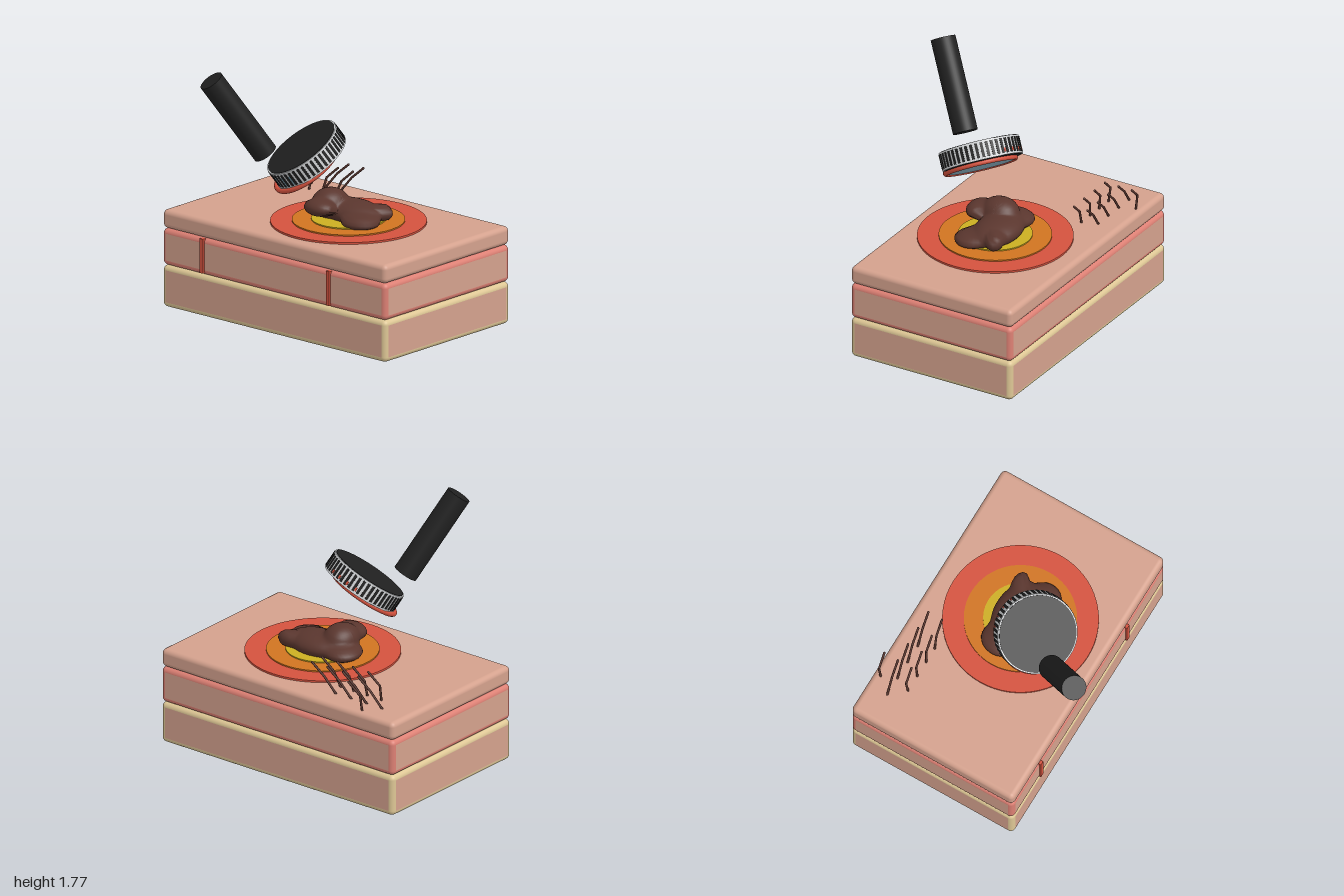
import * as THREE from 'three';
import { RoundedBoxGeometry } from 'three/addons/geometries/RoundedBoxGeometry.js';

const paint = (name, color) => {
  const m = new THREE.MeshStandardMaterial({ color });
  m.name = name;
  return m;
};

export function createModel() {
  const skin = paint('skin', 0xd4a18d), dermis = paint('dermis pink', 0xdd8074);
  const fat = paint('fat yellow', 0xdec795), red = paint('inflamed red', 0xd4523e);
  const orange = paint('orange', 0xd07420), yellow = paint('yellow', 0xcbae22);
  const brown = paint('dark brown', 0x5a362e), black = paint('black', 0x212121);
  const white = paint('light grey', 0xd2d4d6), glass = paint('lens blue', 0x8fb6c8);

  const model = new THREE.Group();
  const add = (parent, name, geometry, material, x = 0, y = 0, z = 0) => {
    const mesh = new THREE.Mesh(geometry, material);
    mesh.name = name;
    mesh.position.set(x, y, z);
    parent.add(mesh);
    return mesh;
  };

  // Tissue layers: rounded slabs whose bevels take their own colour
  function slab(name, y0, y1, edgeMaterial) {
    const box = new RoundedBoxGeometry(2, y1 - y0, 1.26, 4, 0.035);
    const src = box.index ? box.toNonIndexed() : box;
    const p = src.attributes.position, n = src.attributes.normal;
    const parts = [{ p: [], n: [] }, { p: [], n: [] }];
    const isFlat = (i) => Math.max(Math.abs(n.getX(i)), Math.abs(n.getY(i)), Math.abs(n.getZ(i))) > 0.999;
    for (let t = 0; t < p.count; t += 3) {
      const part = parts[isFlat(t) && isFlat(t + 1) && isFlat(t + 2) ? 0 : 1];
      for (let i = t; i < t + 3; i++) {
        part.p.push(p.getX(i), p.getY(i), p.getZ(i));
        part.n.push(n.getX(i), n.getY(i), n.getZ(i));
      }
    }
    parts.forEach((part, k) => {
      const g = new THREE.BufferGeometry();
      g.setAttribute('position', new THREE.Float32BufferAttribute(part.p, 3));
      g.setAttribute('normal', new THREE.Float32BufferAttribute(part.n, 3));
      add(model, name + (k ? 'Edges' : 'Faces'), g, k ? edgeMaterial : skin, 0, (y0 + y1) / 2, -0.11);
    });
  }
  slab('fatLayer', 0, 0.293, fat);
  slab('dermisLayer', 0.293, 0.55, dermis);
  slab('epidermisLayer', 0.55, 0.68, skin);

  // Blood vessels on the front face
  for (const x of [-0.635, 0.495]) add(model, 'vessel', new THREE.BoxGeometry(0.03, 0.24, 0.03), red, x, 0.427, 0.518);

  // Concentric zones around the lesion
  [['outerZone', 0.525, 0.693, red], ['middleZone', 0.38, 0.702, orange], ['innerZone', 0.25, 0.71, yellow]]
    .forEach(([name, r, top, m]) =>
      add(model, name, new THREE.CylinderGeometry(r, r, top - 0.67, 64), m, 0.13, (top + 0.67) / 2, -0.09));

  // Lesion: a sphere pushed out to a smooth blend of ellipsoid lumps
  const lumps = [
    [0.0, 0.80, -0.05, 0.12, 0.105, 0.14],
    [0.14, 0.75, -0.12, 0.24, 0.085, 0.16],
    [0.30, 0.73, -0.02, 0.14, 0.05, 0.13],
    [-0.08, 0.74, -0.12, 0.12, 0.055, 0.14],
    [0.33, 0.76, -0.21, 0.08, 0.06, 0.055],
    [0.03, 0.80, 0.09, 0.12, 0.06, 0.09],
  ];
  const inside = (x, y, z) => lumps.reduce((sum, [cx, cy, cz, rx, ry, rz]) => {
    const q = ((x - cx) / rx) ** 2 + ((y - cy) / ry) ** 2 + ((z - cz) / rz) ** 2;
    return sum + Math.exp(5 * (1 - q));
  }, 0) > 1.3;
  const blob = new THREE.SphereGeometry(1, 72, 48);
  const bp = blob.attributes.position, dir = new THREE.Vector3();
  const [ox, oy, oz] = [0.1, 0.755, -0.06];
  for (let i = 0; i < bp.count; i++) {
    dir.fromBufferAttribute(bp, i);
    let r = 0.45;
    while (r > 0.03 && !inside(ox + dir.x * r, oy + dir.y * r, oz + dir.z * r)) r -= 0.001;
    bp.setXYZ(i, ox + dir.x * r, Math.max(0.69, oy + dir.y * r), oz + dir.z * r);
  }
  blob.computeVertexNormals();
  add(model, 'lesion', blob, brown);

  // Hairs: each rises from its root, bends and leans backward
  function hair(rootX, bendX, tipX, z) {
    const path = new THREE.CurvePath();
    const a = new THREE.Vector3(rootX, 0.67, z), b = new THREE.Vector3(bendX, 0.79, z - 0.017);
    const c = new THREE.Vector3(tipX, 0.87, z - 0.028);
    path.add(new THREE.LineCurve3(a, b));
    path.add(new THREE.LineCurve3(b, c));
    add(model, 'hair', new THREE.TubeGeometry(path, 16, 0.008, 8), brown);
    for (const end of [b, c]) add(model, 'hairJoint', new THREE.SphereGeometry(0.0085, 8, 6), brown, end.x, end.y, end.z);
  }
  const frontRoots = [-0.69, -0.57, -0.455, -0.345];
  for (let i = 0; i < 4; i++) {
    const tip = -0.6 + i * 0.133;
    hair(tip - 0.19, tip - 0.093, tip, -0.583);
    hair(frontRoots[i], tip - 0.09, tip, -0.477);
  }
  hair(-0.695, -0.69, -0.6, -0.688);

  // Handheld magnifier: every part shares one tilted axis
  const axis = new THREE.Vector3(-0.33, 0.82, 0.47).normalize();
  const tilted = (name, x, y, z) => {
    const g = new THREE.Group();
    g.name = name;
    g.position.set(x, y, z);
    g.quaternion.setFromUnitVectors(new THREE.Vector3(0, 1, 0), axis);
    model.add(g);
    return g;
  };

  const handle = tilted('handle', -0.326, 1.457, 0.509);
  add(handle, 'grip', new THREE.CylinderGeometry(0.085, 0.085, 0.65, 40), black);

  const head = tilted('magnifierHead', -0.048, 1.168, 0.133);
  add(head, 'rim', new THREE.CylinderGeometry(0.275, 0.275, 0.126, 96), white);
  for (const s of [-1, 1]) add(head, 'cap', new THREE.CylinderGeometry(0.266, 0.266, 0.006, 64), black, 0, s * 0.063, 0);

  // Slots around the rim, with a few coloured inlays front and back
  const count = 48;
  for (let i = 0; i < count; i++) {
    const a = (i / count) * Math.PI * 2;
    const pivot = new THREE.Group();
    pivot.name = 'rimSlot';
    pivot.rotation.y = a;
    head.add(pivot);
    add(pivot, 'slot', new THREE.BoxGeometry(0.019, 0.102, 0.008), black, 0, 0, 0.274);
    const d = Math.atan2(Math.sin(a), Math.cos(a));
    if (Math.abs(d + 0.3) < 0.5 && i % 2) add(pivot, 'inlay', new THREE.BoxGeometry(0.012, 0.07, 0.006), glass, 0.018, -0.01, 0.274);
    if (Math.abs(d) > 2.5 && i % 2) add(pivot, 'inlay', new THREE.BoxGeometry(0.014, 0.025, 0.006), red, 0.014, -0.03, 0.276);
  }

  // Lens and its red seal under the head
  const lens = tilted('lens', -0.048, 1.075, 0.134);
  add(lens, 'seal', new THREE.TorusGeometry(0.24, 0.018, 12, 64), red).rotation.x = Math.PI / 2;
  add(lens, 'lensGlass', new THREE.CylinderGeometry(0.235, 0.235, 0.02, 64), glass);

  return model;
}
